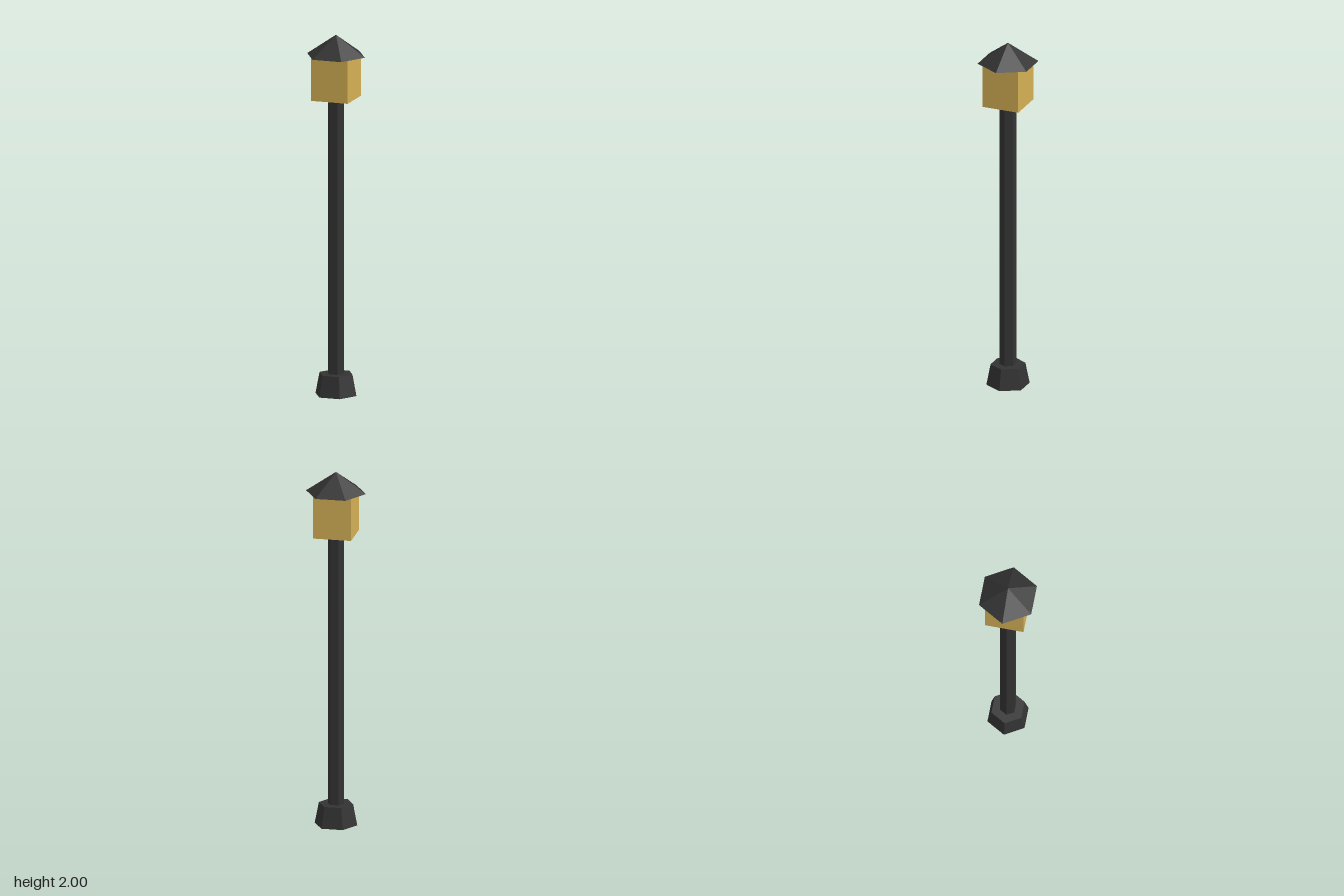
import * as THREE from 'three';

export function createModel() {
  const model = new THREE.Group();
  model.name = 'streetLamp';

  const iron = new THREE.MeshStandardMaterial({ color: 0x333333 });
  iron.name = 'dark iron';
  const glass = new THREE.MeshStandardMaterial({ color: 0xd4b056 });
  glass.name = 'amber glass';

  const add = (name, geometry, material) => {
    const mesh = new THREE.Mesh(geometry, material);
    mesh.name = name;
    model.add(mesh);
  };

  // Faceted six-sided part with corners on the x axis, from y0 to y1
  const hexPart = (name, topRadius, bottomRadius, y0, y1) => {
    const geometry = new THREE.CylinderGeometry(topRadius, bottomRadius, y1 - y0, 6)
      .rotateY(Math.PI / 6)
      .translate(0, (y0 + y1) / 2, 0)
      .toNonIndexed();
    geometry.computeVertexNormals(); // flat facets
    add(name, geometry, iron);
  };

  // Tapered foot and slim post
  hexPart('base', 0.095, 0.118, 0, 0.118);
  hexPart('post', 0.045, 0.045, 0.1, 1.66);

  // Square lantern
  add('lantern', new THREE.BoxGeometry(0.212, 0.238, 0.212).translate(0, 1.766, 0), glass);

  // Pointed roof
  hexPart('roof', 0, 0.166, 1.885, 2);

  return model;
}
